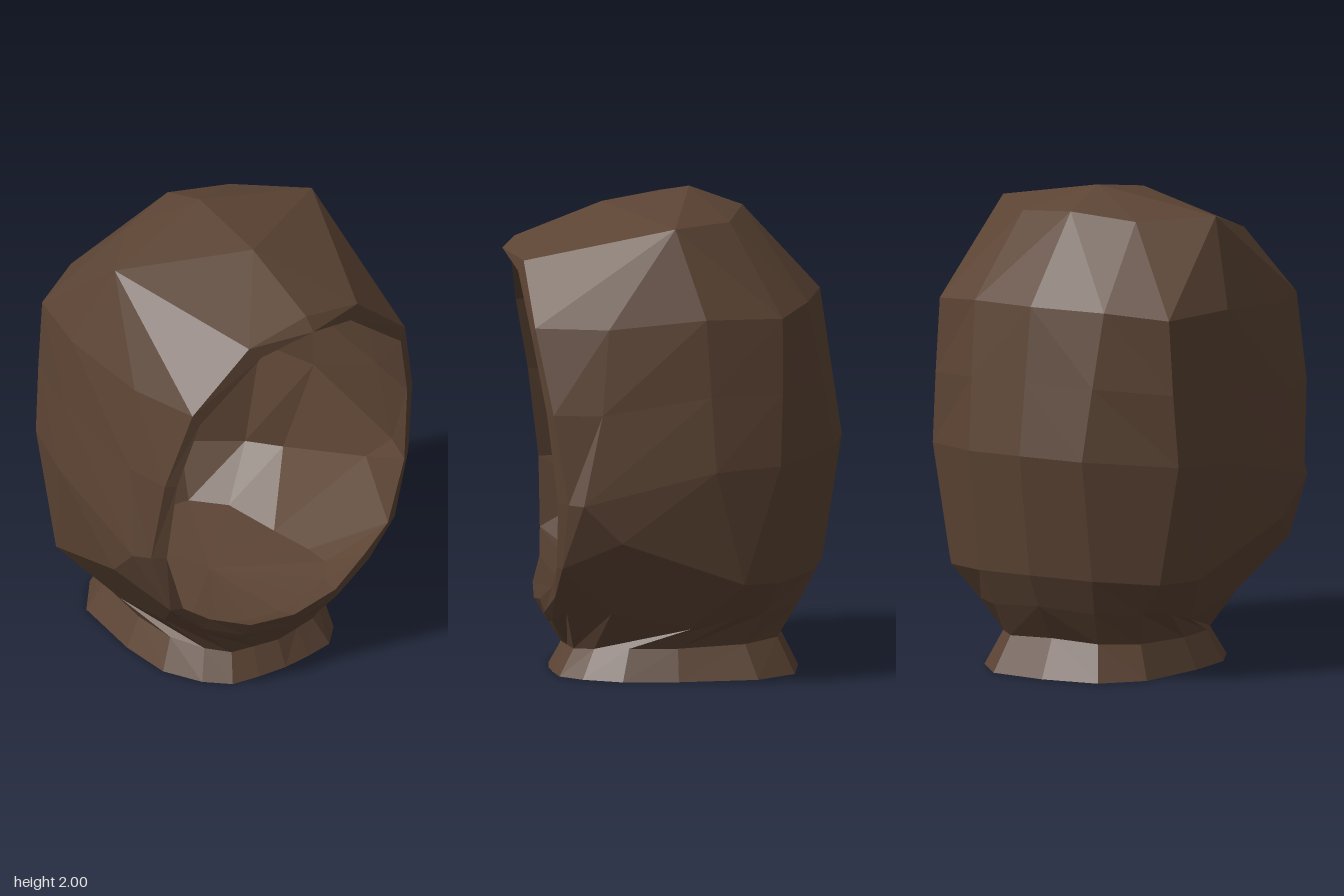
import * as THREE from 'three';

// Every row is half a cross-section on the +x side; strips are mirrored to -x.
function loft(name, rows, material) {
  const pos = [];
  const tri = (a, b, c) => {
    const [A, B, C] = [a, b, c].map((p) => new THREE.Vector3(...p));
    if (B.sub(A).cross(C.sub(A)).length() < 1e-6) return;
    pos.push(...a, ...b, ...c);
    const m = (p) => [-p[0], p[1], p[2]];
    pos.push(...m(a), ...m(c), ...m(b));
  };
  for (let r = 0; r < rows.length - 1; r++) {
    const A = rows[r], B = rows[r + 1];
    for (let i = 0; i < Math.min(A.length, B.length) - 1; i++) {
      tri(A[i], A[i + 1], B[i + 1]);
      tri(A[i], B[i + 1], B[i]);
    }
  }
  const g = new THREE.BufferGeometry();
  g.setAttribute('position', new THREE.Float32BufferAttribute(pos, 3));
  g.computeVertexNormals();
  const mesh = new THREE.Mesh(g, material);
  mesh.name = name;
  return mesh;
}

export function createModel() {
  const cloth = new THREE.MeshStandardMaterial({ color: 0x5c4434, flatShading: true, side: THREE.DoubleSide });
  cloth.name = 'brown cloth';

  // Outer rows, back centre to front opening, from the crown down
  const apex = [0, 2, -0.07], shoulder = [0.51, 1.9, 0.02];
  const crown = [apex, apex, apex, apex, [0, 1.94, 0.29], [0, 1.8, 0.65]];
  const dome = [[0, 1.92, -0.29], [0.27, 1.89, -0.22], shoulder, shoulder, shoulder, [0.28, 1.74, 0.63]];
  const brow = [[0, 1.57, -0.61], [0.31, 1.56, -0.54], [0.55, 1.53, -0.42],
    [0.64, 1.54, -0.1], [0.62, 1.5, 0.3], [0.55, 1.5, 0.6]];
  const temple = [[0, 1.26, -0.655], [0.29, 1.25, -0.6], [0.57, 1.22, -0.42],
    [0.66, 1.22, -0.12], [0.67, 1.15, 0.33], [0.64, 1.15, 0.53]];
  const middle = [[0, 0.96, -0.7], [0.27, 0.95, -0.65], [0.59, 0.92, -0.41],
    [0.68, 0.91, -0.14], [0.715, 0.78, 0.41], [0.665, 0.78, 0.47]];
  const jaw = [[0, 0.45, -0.62], [0.27, 0.44, -0.57], [0.5, 0.42, -0.41], [0.6, 0.43, -0.26],
    [0.69, 0.62, 0.25], [0.58, 0.5, 0.49], [0.43, 0.36, 0.51], [0.24, 0.27, 0.54], [0, 0.22, 0.53]];
  const underJaw = [[0, 0.31, -0.55], [0.24, 0.29, -0.5], [0.39, 0.28, -0.36], [0.45, 0.27, -0.24],
    [0.43, 0.22, -0.05], [0.45, 0.29, 0.28], [0.38, 0.29, 0.46], [0.23, 0.23, 0.51], [0, 0.19, 0.51]];
  const neck = [[0, 0.16, -0.44], [0.21, 0.15, -0.42], [0.33, 0.14, -0.28], [0.37, 0.13, 0],
    [0.36, 0.13, 0.2], [0.29, 0.12, 0.34], [0.21, 0.11, 0.42], [0.11, 0.11, 0.44], [0, 0.11, 0.46]];

  // Flared collar and its closed underside
  const base = [[0, 0, -0.52], [0.25, 0, -0.49], [0.39, 0, -0.33], [0.43, 0, 0],
    [0.42, 0, 0.23], [0.34, 0, 0.39], [0.25, 0, 0.48], [0.13, 0, 0.5], [0, 0, 0.51]];
  const centre = (y) => base.map(() => [0, y, 0]);

  // Opening edge, top centre round to chin centre
  const rimOuter = [crown[5], dome[5], brow[5], temple[5], middle[5], ...jaw.slice(5)];
  const rimInner = [[0, 1.75, 0.7], [0.23, 1.69, 0.65], [0.52, 1.45, 0.61], [0.595, 1.15, 0.555],
    [0.615, 0.78, 0.51], [0.53, 0.5, 0.51], [0.4, 0.4, 0.52], [0.22, 0.32, 0.56], [0, 0.29, 0.57]];

  // Lining rows, just inside the outer ones and ending on the inner rim
  const inApex = [0, 1.93, -0.06], inShoulder = [0.46, 1.83, 0];
  const inCrown = [inApex, inApex, inApex, inApex, [0, 1.88, 0.28], rimInner[0]];
  const inDome = [[0, 1.85, -0.26], [0.25, 1.83, -0.2], inShoulder, inShoulder, inShoulder, rimInner[1]];
  const inBrow = [[0, 1.5, -0.56], [0.28, 1.5, -0.5], [0.51, 1.46, -0.39],
    [0.59, 1.48, -0.1], [0.57, 1.46, 0.28], rimInner[2]];
  const inTemple = [[0, 1.22, -0.61], [0.265, 1.21, -0.55], [0.535, 1.19, -0.385],
    [0.615, 1.19, -0.12], [0.625, 1.14, 0.31], rimInner[3]];
  const inMiddle = [[0, 0.95, -0.65], [0.25, 0.93, -0.6], [0.55, 0.91, -0.38],
    [0.635, 0.9, -0.13], [0.665, 0.78, 0.36], rimInner[4]];
  const inJaw = [[0, 0.48, -0.57], [0.25, 0.47, -0.53], [0.47, 0.46, -0.38], [0.56, 0.47, -0.24],
    [0.63, 0.64, 0.23], ...rimInner.slice(5)];
  const inFloor = [[0, 0.26, -0.44], [0.2, 0.26, -0.41], [0.31, 0.26, -0.28], [0.36, 0.24, -0.04],
    [0.37, 0.26, 0.18], [0.35, 0.28, 0.32], [0.28, 0.27, 0.41], [0.15, 0.26, 0.45], [0, 0.25, 0.46]];
  const lining = [inCrown, inDome, inBrow, inTemple, inMiddle, inJaw, inFloor, centre(0.22)];

  const group = new THREE.Group();
  group.name = 'hood';
  group.add(
    loft('outerHood', [crown, dome, brow, temple, middle, jaw, underJaw, neck], cloth),
    loft('collar', [neck, base, centre(0)], cloth),
    loft('openingRim', [rimInner, rimOuter], cloth),
    // Columns reversed so the lining faces inward
    loft('innerLining', lining.map((row, i) => {
      const shared = i < 5 ? 6 : 9;
      return row.slice(0, shared);
    }).reverse(), cloth),
  );
  return group;
}
